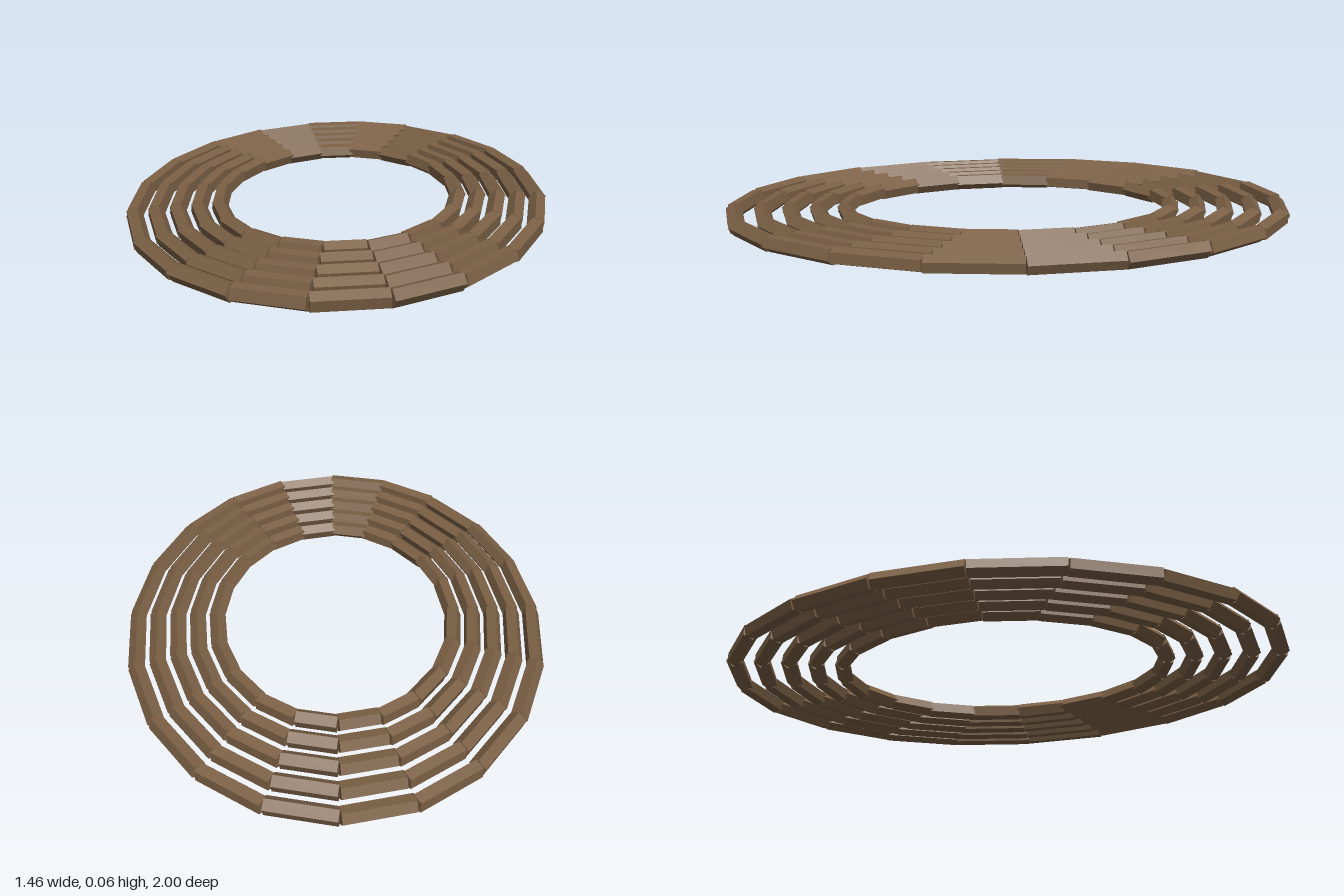
import * as THREE from 'three';

const RINGS = 5, SEGMENTS = 20, RADIUS = 0.03;
const HALF_WIDTH = 0.7, HALF_DEPTH = 0.971;
const UP = new THREE.Vector3(0, 1, 0);

const material = new THREE.MeshStandardMaterial({ color: 0x7b6045, flatShading: true });

// Point on an ellipse scaled from the outermost ring
function ellipsePoint(scale, i) {
  const t = (i / SEGMENTS) * Math.PI * 2;
  return new THREE.Vector3(
    HALF_WIDTH * scale * Math.cos(t), RADIUS, HALF_DEPTH * scale * Math.sin(t));
}

// Straight five-sided bar between two points
function makeBar(a, b) {
  const dir = b.clone().sub(a);
  const geometry = new THREE.CylinderGeometry(
    RADIUS, RADIUS, dir.length(), 5, 1, false, Math.PI);
  const bar = new THREE.Mesh(geometry, material);
  bar.name = 'ringBar';
  bar.position.copy(a).add(b).multiplyScalar(0.5);
  bar.quaternion.setFromUnitVectors(UP, dir.normalize());
  return bar;
}

export function createModel() {
  const model = new THREE.Group();
  model.name = 'concentricOvalRings';

  // Nested oval rings, from the outermost inwards
  for (let r = 0; r < RINGS; r++) {
    const ring = new THREE.Group();
    ring.name = `ovalRing${r + 1}`;
    const scale = 1 - r * 0.1;
    for (let i = 0; i < SEGMENTS; i++) {
      ring.add(makeBar(ellipsePoint(scale, i), ellipsePoint(scale, i + 1)));
    }
    model.add(ring);
  }
  return model;
}
